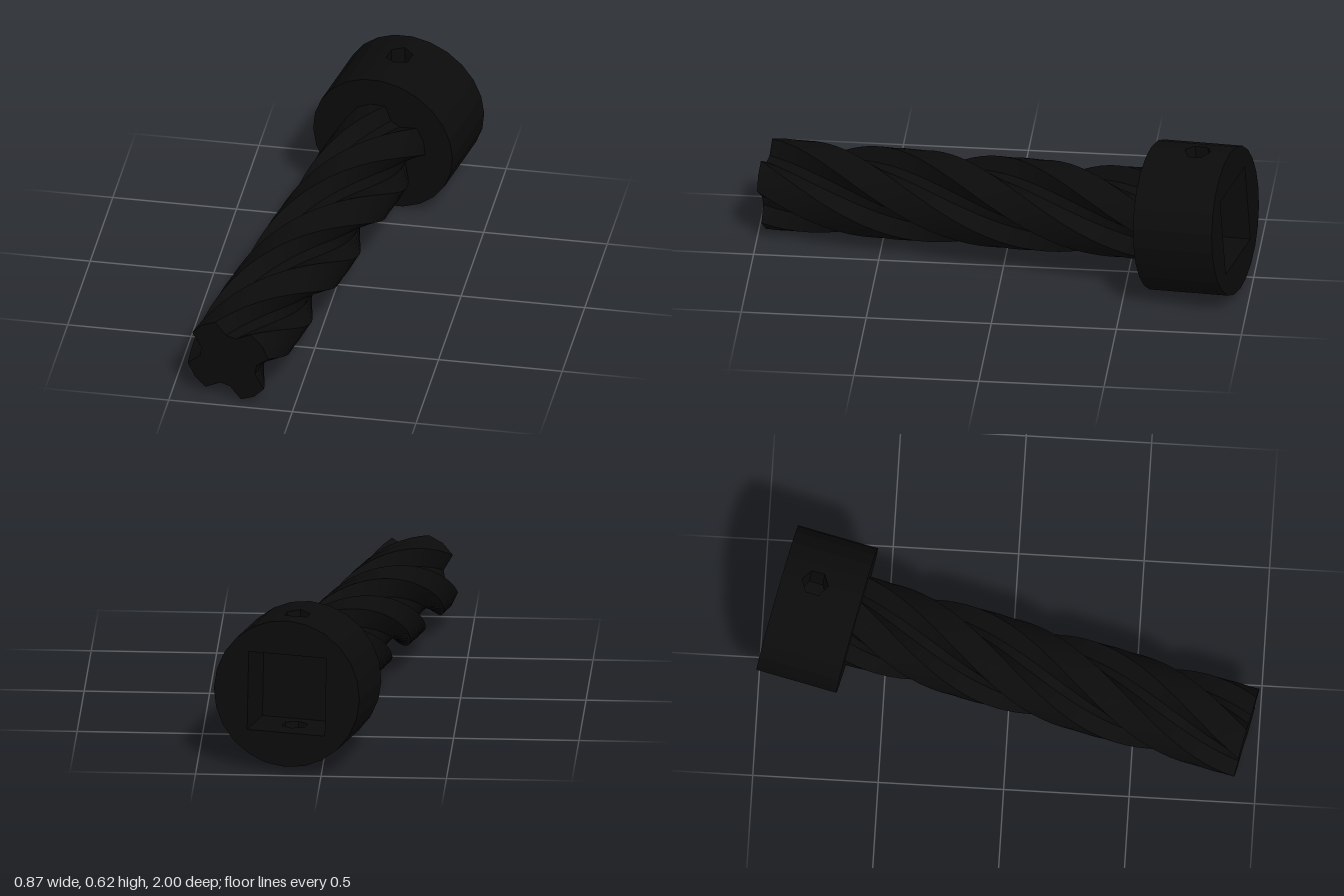
import * as THREE from 'three';
import { toCreasedNormals } from 'three/addons/utils/BufferGeometryUtils.js';

const SIDES = 24, HEAD_R = 0.3, HEAD_LEN = 0.33, TOTAL = 1.944;
const SOCKET = 0.32, DEPTH = 0.23, HOLE_R = 0.054, HOLE_Z = 0.135;
const rad = THREE.MathUtils.degToRad;
const polar = (deg, r) => new THREE.Vector2(r * Math.cos(rad(deg)), r * Math.sin(rad(deg)));
const hexagon = (cx, cy) =>
  Array.from({ length: 6 }, (_, i) => polar(90 + i * 60, HOLE_R).add(new THREE.Vector2(cx, cy)));
const ring = () => Array.from({ length: SIDES }, (_, i) => polar(90 + i * 360 / SIDES, HEAD_R));
const square = (h) => [[-h, -h], [h, -h], [h, h], [-h, h]].map(([x, y]) => new THREE.Vector2(x, y));

export function createModel() {
  const black = new THREE.MeshStandardMaterial({ color: 0x0b0b0b, side: THREE.DoubleSide });
  black.name = 'black';

  // Local frame: z runs along the bolt, from the head's back face to the tip
  const bolt = new THREE.Group();
  bolt.name = 'bolt';
  const head = new THREE.Group();
  head.name = 'head';
  bolt.add(head);
  const add = (parent, geometry, name) => {
    const mesh = new THREE.Mesh(geometry, black);
    mesh.name = name;
    parent.add(mesh);
    return mesh;
  };

  // Fluted shaft: four-toothed section, twisted along its length
  const section = [];
  for (let i = 0; i < 4; i++) {
    const a = i * 90;
    section.push(polar(a + 16, 0.182), polar(a + 36, 0.183), polar(a + 56, 0.182),
      polar(a + 72, 0.12), polar(a + 92, 0.122));
  }
  const length = TOTAL - HEAD_LEN;
  const shaft = new THREE.ExtrudeGeometry(new THREE.Shape(section),
    { depth: length, steps: 36, bevelEnabled: false });
  const p = shaft.attributes.position;
  for (let i = 0; i < p.count; i++) {
    const v = new THREE.Vector3().fromBufferAttribute(p, i);
    v.applyAxisAngle(new THREE.Vector3(0, 0, 1), (v.z - length) * Math.PI);
    p.setXYZ(i, v.x, v.y, v.z + HEAD_LEN);
  }
  add(bolt, toCreasedNormals(shaft, 0.45), 'flutedShaft');

  // Head end faces
  const back = new THREE.Shape(ring());
  back.holes.push(new THREE.Path(square(SOCKET / 2)));
  add(head, new THREE.ShapeGeometry(back).rotateY(Math.PI), 'headBack');
  add(head, new THREE.ShapeGeometry(new THREE.Shape(ring())), 'headFront').position.z = HEAD_LEN;

  // Head rim: flat panels, with half a hexagon cut from those beside the cross hole
  const half = HEAD_R * Math.sin(Math.PI / SIDES);
  const apothem = HEAD_R * Math.cos(Math.PI / SIDES);
  const notchX = HOLE_R * 0.866;
  for (let i = 0; i < SIDES; i++) {
    const shape = new THREE.Shape();
    const k = i % (SIDES / 2);
    const s = k === 0 ? 1 : k === SIDES / 2 - 1 ? -1 : 0;
    const e = s || 1;
    shape.moveTo(-e * half, 0);
    shape.lineTo(e * half, 0);
    shape.lineTo(e * half, HEAD_LEN);
    shape.lineTo(-e * half, HEAD_LEN);
    if (s) {
      shape.lineTo(-e * half, HOLE_Z + HOLE_R);
      shape.lineTo(e * (notchX - half), HOLE_Z + HOLE_R / 2);
      shape.lineTo(e * (notchX - half), HOLE_Z - HOLE_R / 2);
      shape.lineTo(-e * half, HOLE_Z - HOLE_R);
    }
    shape.closePath();
    // Panel lies on the top, facing outward, then turns to its place
    const panel = new THREE.ShapeGeometry(shape).rotateX(Math.PI / 2).translate(0, apothem, 0);
    panel.rotateZ(-(i + 0.5) * 2 * Math.PI / SIDES);
    const idx = panel.index;
    for (let t = 0; t < idx.count; t += 3) {
      const b = idx.getX(t + 1);
      idx.setX(t + 1, idx.getX(t + 2));
      idx.setX(t + 2, b);
    }
    panel.computeVertexNormals();
    add(head, panel, 'headRimPanel');
  }

  // Square socket: four walls, the upper and lower pierced, and a floor
  const h = SOCKET / 2;
  for (let i = 0; i < 4; i++) {
    const wall = new THREE.Shape([[-h, 0], [h, 0], [h, DEPTH], [-h, DEPTH]]
      .map(([x, y]) => new THREE.Vector2(x, y)));
    if (i % 2 === 0) wall.holes.push(new THREE.Path(hexagon(0, HOLE_Z)));
    const g = new THREE.ShapeGeometry(wall).rotateX(Math.PI / 2).translate(0, h, 0);
    add(head, g.rotateZ(i * Math.PI / 2), 'socketWall');
  }
  add(head, new THREE.ShapeGeometry(new THREE.Shape(square(h))).rotateY(Math.PI), 'socketFloor')
    .position.z = DEPTH;

  // Cross hole lining, trimmed to meet the sloping rim panels
  for (const turn of [0, Math.PI]) {
    const g = new THREE.CylinderGeometry(HOLE_R, HOLE_R, HEAD_R - h, 6, 1, true);
    g.translate(0, (HEAD_R + h) / 2, 0);
    const q = g.attributes.position;
    for (let i = 0; i < q.count; i++) {
      if (q.getY(i) > HEAD_R - 0.01) {
        q.setY(i, HEAD_R - Math.abs(q.getX(i)) * Math.tan(Math.PI / SIDES));
      }
    }
    g.rotateZ(turn).translate(0, 0, HOLE_Z);
    add(head, toCreasedNormals(g, 0.3), 'crossHole');
  }

  // Lay the bolt along its slanted axis
  bolt.position.set(0.14, 0.327, -0.94);
  bolt.lookAt(-0.268, 0.185, 0.955);
  const model = new THREE.Group();
  model.name = 'flutedBolt';
  model.add(bolt);
  return model;
}
